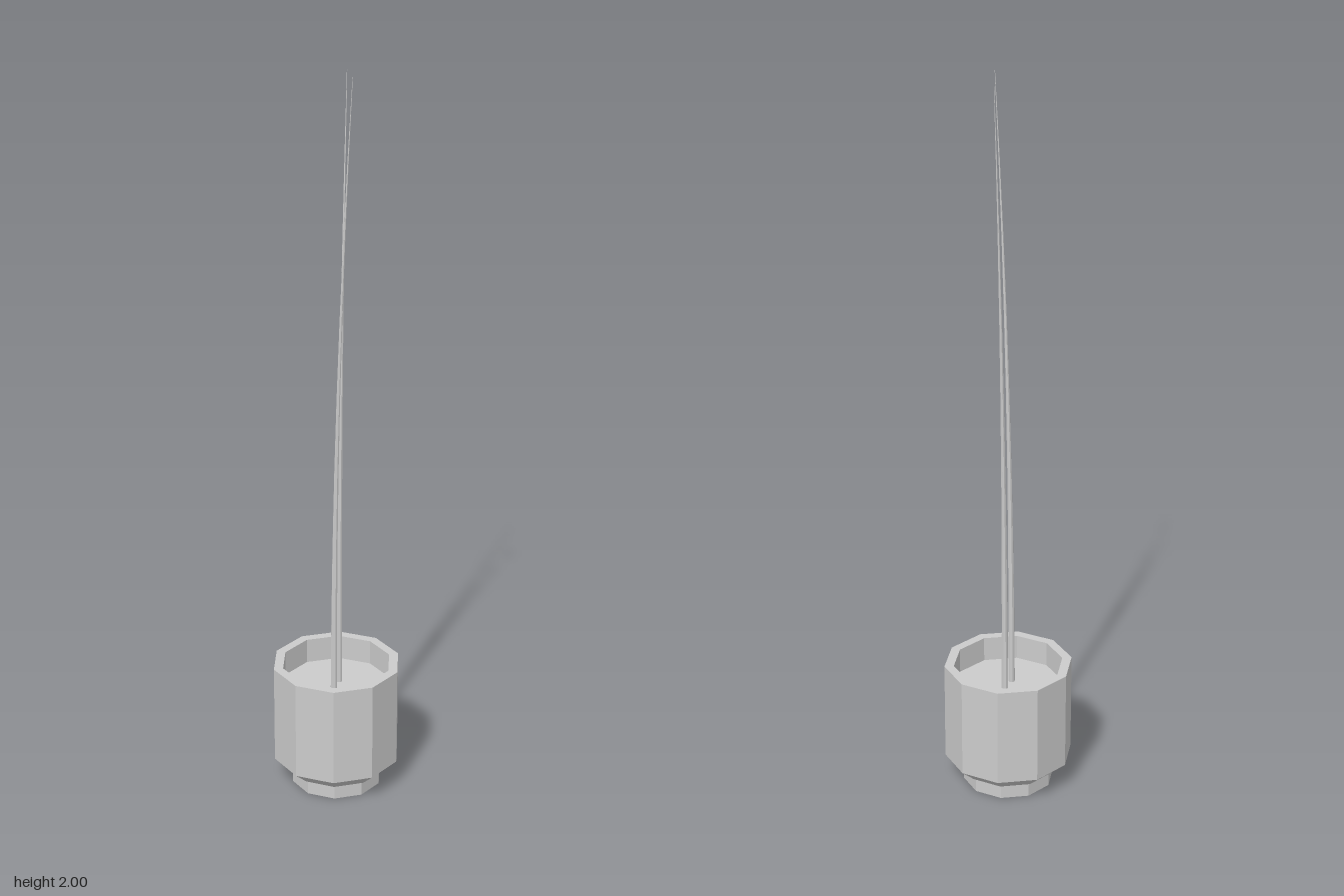
import * as THREE from 'three';

const SOIL_Y = 0.29;
const grey = () => new THREE.MeshStandardMaterial({ color: 0xcccccc, flatShading: true });

// Ten-sided part turned from a profile of [radius, height], with a corner on +x
function turned(name, profile) {
  const points = profile.map(([r, y]) => new THREE.Vector2(r, y));
  const mesh = new THREE.Mesh(new THREE.LatheGeometry(points, 10, Math.PI / 2), grey());
  mesh.name = name;
  return mesh;
}

// Thin tapering blade that bends from its base to its tip
function blade(name, base, tip) {
  const height = tip.y - base.y;
  const geometry = new THREE.CylinderGeometry(0.0006, 0.0095, height, 8, 8);
  geometry.translate(0, height / 2, 0);
  const pos = geometry.attributes.position;
  for (let i = 0; i < pos.count; i++) {
    const t = pos.getY(i) / height;
    const bend = t * t;
    pos.setX(i, pos.getX(i) + (tip.x - base.x) * bend);
    pos.setZ(i, pos.getZ(i) + (tip.z - base.z) * bend);
  }
  geometry.computeVertexNormals();
  const mesh = new THREE.Mesh(geometry, grey());
  mesh.position.copy(base);
  mesh.name = name;
  return mesh;
}

export function createModel() {
  const model = new THREE.Group();
  model.name = 'pottedPlant';

  // Pot: foot, bevelled underside, straight wall, rim and inner wall
  model.add(turned('pot', [
    [0, 0], [0.126, 0], [0.126, 0.042], [0.134, 0.042], [0.177, 0.08],
    [0.177, 0.36], [0.151, 0.36], [0.151, SOIL_Y],
  ]));

  // Soil surface inside the rim
  model.add(turned('soil', [[0.151, SOIL_Y], [0, SOIL_Y]]));

  // Two tall leaves
  model.add(blade('frontLeaf', new THREE.Vector3(0.001, SOIL_Y, 0.022), new THREE.Vector3(0.056, 2, 0.036)));
  model.add(blade('backLeaf', new THREE.Vector3(0, SOIL_Y, -0.02), new THREE.Vector3(0, 1.99, -0.075)));

  return model;
}
